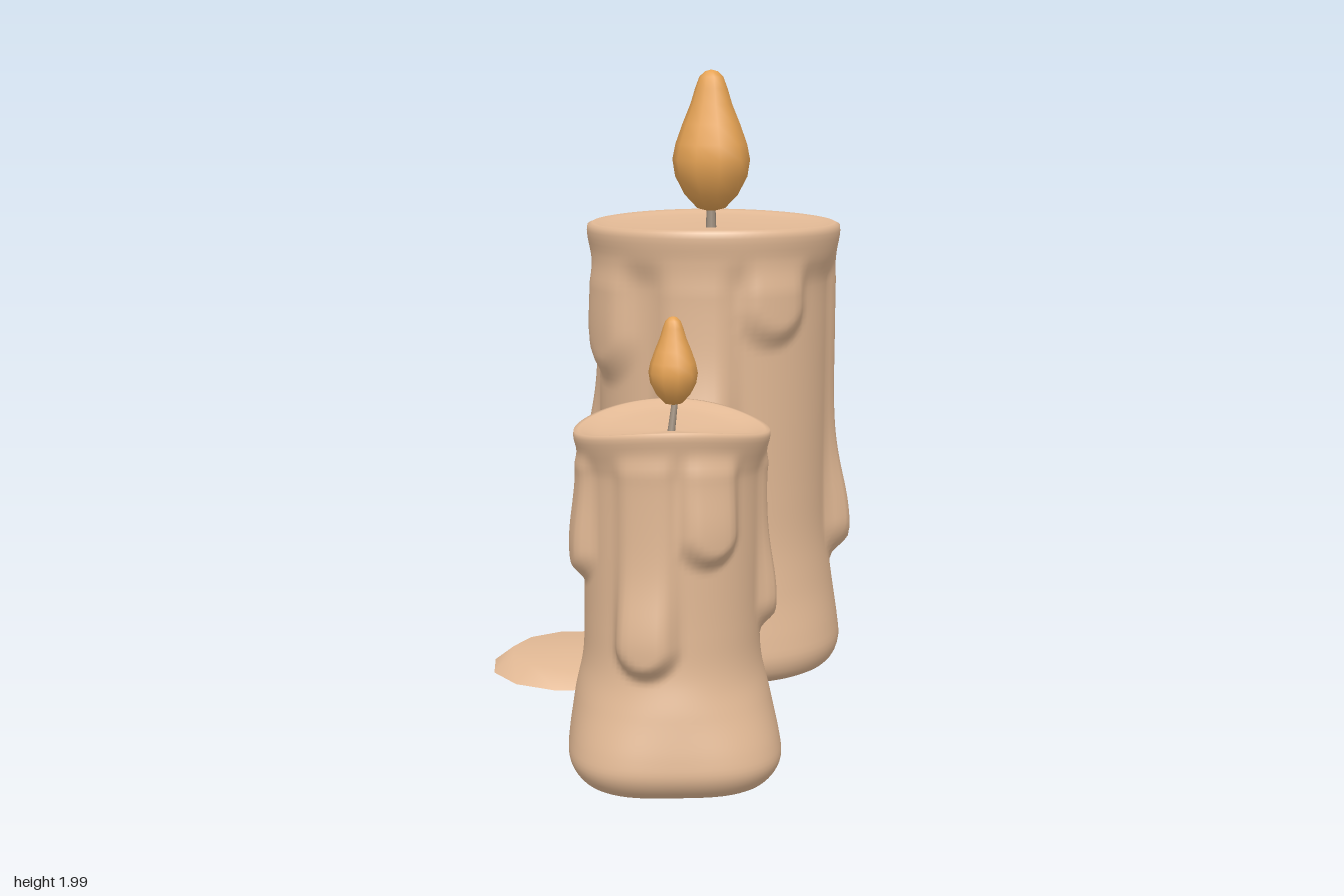
import * as THREE from 'three';

const wax = new THREE.MeshStandardMaterial({ color: 0xe2b995 });
wax.name = 'wax';
const fire = new THREE.MeshStandardMaterial({ color: 0xe6a354 });
fire.name = 'flame orange';
const cord = new THREE.MeshStandardMaterial({ color: 0xa19180 });
cord.name = 'wick brown';

const { smoothstep, degToRad } = THREE.MathUtils;
const points = (list) => list.map(([r, y]) => new THREE.Vector2(r, y));

function addMesh(parent, name, geometry, material, x = 0, y = 0, z = 0) {
  const mesh = new THREE.Mesh(geometry, material);
  mesh.name = name;
  mesh.position.set(x, y, z);
  parent.add(mesh);
  return mesh;
}

// Wax body: a turned profile swollen by capsule-shaped drips running down from the rim.
// Each drip is [angle from +x towards +z in degrees, height of its lower end, half width, swelling at the tip].
function waxBody({ profile, drips, radius, top, rim, wave, body, tipLength, foot }) {
  const sides = 96, rows = 120;
  const rings = new THREE.SplineCurve(points(profile)).getSpacedPoints(rows);
  const position = [], index = [];
  rings.forEach((p, i) => {
    const r0 = i === 0 || i === rows ? 0 : Math.max(p.x, 0);
    for (let j = 0; j < sides; j++) {
      const a = (j / sides) * Math.PI * 2;
      let bump = 0;
      for (const [deg, end, width, tip] of drips) {
        const turn = a - degToRad(deg);
        const u = Math.atan2(Math.sin(turn), Math.cos(turn)) * radius;
        const centre = end + width;
        const distance = Math.hypot(u, Math.min(0, p.y - centre));
        const swell = Math.exp(-(((p.y - centre) / tipLength) ** 2));
        const height = body + (tip - body) * swell;
        bump = Math.max(bump, height * smoothstep(1 - distance / width, 0, 0.55));
      }
      // Drips melt into the rim
      bump *= 1 - smoothstep(p.y, top - 2 * rim, top - 0.8 * rim);
      // Four-cornered foot, heavier towards the front
      bump += foot * (Math.cos(4 * a) + 0.5 * Math.sin(a)) * (1 - smoothstep(p.y, 0.1, 0.35));
      const share = Math.min(1, r0 / radius);
      const r = r0 + bump * share;
      const y = p.y + wave * Math.cos(2 * (a - degToRad(135))) * smoothstep(p.y, top - 0.2, top - 0.02) * share;
      position.push(r * Math.cos(a), y, r * Math.sin(a));
      if (i < rows) {
        const k = (j + 1) % sides, n = i * sides;
        index.push(n + j, n + sides + j, n + k, n + k, n + sides + j, n + sides + k);
      }
    }
  });
  const geometry = new THREE.BufferGeometry();
  geometry.setAttribute('position', new THREE.Float32BufferAttribute(position, 3));
  geometry.setIndex(index);
  geometry.computeVertexNormals();
  return geometry;
}

// Teardrop flame, one unit tall from its base
const flameProfile = points([[0, 0], [0.1, 0.025], [0.19, 0.12], [0.258, 0.25], [0.277, 0.37], [0.255, 0.48],
  [0.205, 0.62], [0.148, 0.76], [0.115, 0.87], [0.085, 0.95], [0.045, 0.988], [0, 1]]);

function candle(name, x, z, spec) {
  const group = new THREE.Group();
  group.name = name;
  group.position.set(x, 0, z);
  addMesh(group, 'waxBody', waxBody(spec), wax);
  const { from, to, thick, tilt, offset } = spec.wick;
  const wick = addMesh(group, 'wick', new THREE.CylinderGeometry(thick * 0.75, thick, to - from, 8), cord, offset, (from + to) / 2, 0);
  wick.rotation.z = -tilt;
  const [base, tip] = spec.flame;
  addMesh(group, 'flame', new THREE.LatheGeometry(flameProfile, 10), fire, offset, base, 0).scale.setScalar(tip - base);
  return group;
}

export function createModel() {
  const model = new THREE.Group();
  model.name = 'candles';

  model.add(candle('largeCandle', 0.372, -0.224, {
    radius: 0.4, top: 1.51, rim: 0.1, wave: 0.004, body: 0.028, tipLength: 0.22, foot: 0.007,
    profile: [[0, 0.01], [0.2, 0.018], [0.33, 0.032], [0.4, 0.055], [0.428, 0.11], [0.423, 0.18], [0.4, 0.32],
      [0.379, 0.48], [0.374, 0.65], [0.375, 0.9], [0.377, 1.15], [0.378, 1.31], [0.386, 1.36], [0.403, 1.41],
      [0.416, 1.48], [0.41, 1.51], [0.388, 1.508], [0.34, 1.498], [0.2, 1.49], [0, 1.488]],
    drips: [[148, 0.62, 0.16, 0.095], [109, 1.12, 0.15, 0.04], [39, 0.35, 0.16, 0.088],
      [-40, 0.87, 0.155, 0.08], [-104, 0.5, 0.165, 0.09], [203, 0.98, 0.19, 0.045]],
    wick: { from: 1.47, to: 1.58, thick: 0.018, tilt: 0, offset: -0.012 },
    flame: [1.54, 2.0],
  }));

  model.add(candle('smallCandle', -0.55, 0.42, {
    radius: 0.265, top: 1.05, rim: 0.06, wave: 0.02, body: 0.02, tipLength: 0.15, foot: 0.016,
    profile: [[0, 0.015], [0.13, 0.018], [0.22, 0.028], [0.28, 0.05], [0.315, 0.1], [0.311, 0.16], [0.282, 0.27],
      [0.254, 0.38], [0.248, 0.5], [0.248, 0.7], [0.249, 0.9], [0.256, 0.955], [0.268, 1.0], [0.276, 1.035],
      [0.271, 1.05], [0.248, 1.044], [0.2, 1.032], [0.1, 1.025], [0, 1.024]],
    drips: [[114, 0.67, 0.11, 0.042], [155, 0.36, 0.11, 0.055], [43, 0.44, 0.11, 0.052],
      [6, 0.76, 0.1, 0.038], [-78, 0.26, 0.11, 0.05], [-143, 0.6, 0.105, 0.045]],
    wick: { from: 1.01, to: 1.12, thick: 0.011, tilt: 0.18, offset: 0.006 },
    flame: [1.095, 1.345],
  }));

  // Pools of spilled wax: a soft-edged slab over a flat underside
  for (const [name, x, z, radius, base, height, sides] of [
    ['largePuddle', -0.03, -0.47, 0.287, 0.038, 0.05, 12],
    ['smallPuddle', 0.75, -0.48, 0.14, 0.05, 0.025, 10],
  ]) {
    const puddle = new THREE.Group();
    puddle.name = name;
    puddle.position.set(x, base, z);
    const inset = height * 1.3;
    addMesh(puddle, 'top', new THREE.LatheGeometry(points([[radius, 0], [radius - inset, height], [0, height]]), sides), wax);
    const underside = new THREE.LatheGeometry(points([[0, 0], [radius, 0]]), sides);
    addMesh(puddle, 'underside', underside, wax);
    model.add(puddle);
  }
  return model;
}
